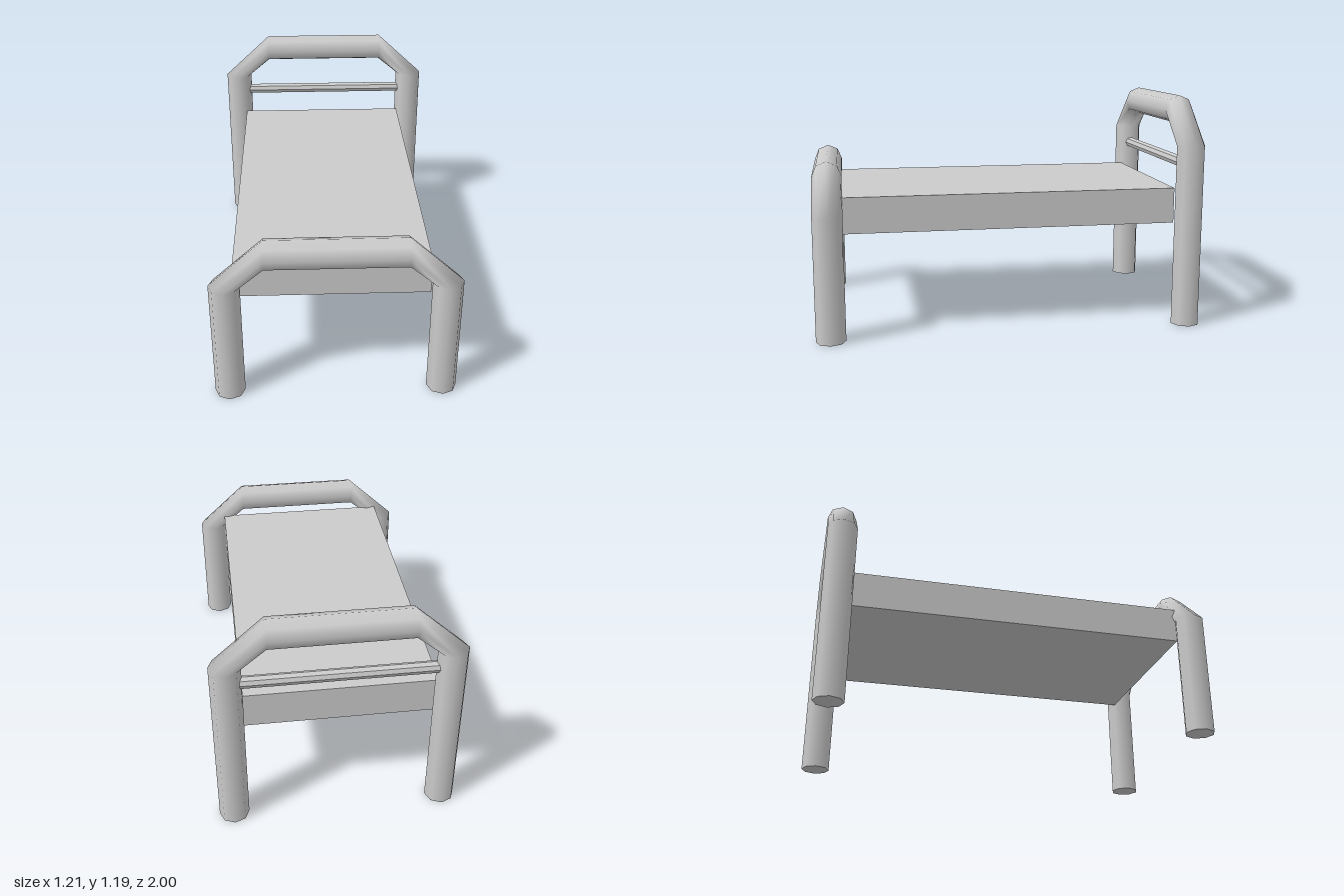
import * as THREE from 'three';

const SIDES = 8, RADIUS = 0.075, POST_X = 0.53, BEND_X = 0.34, END_Z = 0.925;

const material = new THREE.MeshStandardMaterial({ color: 0xcccccc });

function addMesh(parent, name, geometry, x, y, z, mat = material) {
  const mesh = new THREE.Mesh(geometry, mat);
  mesh.name = name;
  mesh.position.set(x, y, z);
  parent.add(mesh);
  return mesh;
}

// Bent pipe: level rings on the posts, upright rings on the top rail
function archGeometry(shoulderY, railY) {
  // each ring: centre x, centre y, outward direction x, y
  const rings = [
    [-POST_X, 0, -1, 0],
    [-POST_X, shoulderY, -1, 0],
    [-BEND_X, railY, 0, 1],
    [BEND_X, railY, 0, 1],
    [POST_X, shoulderY, 1, 0],
    [POST_X, 0, 1, 0],
  ];
  const positions = [], normals = [], index = [];
  rings.forEach(([cx, cy, dx, dy], i) => {
    for (let j = 0; j < SIDES; j++) {
      const a = (j / SIDES) * Math.PI * 2;
      const c = Math.cos(a), s = Math.sin(a);
      positions.push(cx + dx * c * RADIUS, cy + dy * c * RADIUS, s * RADIUS);
      normals.push(dx * c, dy * c, s);
      if (i < rings.length - 1) {
        const k = (j + 1) % SIDES, p = i * SIDES, q = p + SIDES;
        index.push(p + j, p + k, q + k, p + j, q + k, q + j);
      }
    }
  });
  const geometry = new THREE.BufferGeometry();
  geometry.setAttribute('position', new THREE.Float32BufferAttribute(positions, 3));
  geometry.setAttribute('normal', new THREE.Float32BufferAttribute(normals, 3));
  geometry.setIndex(index);
  return geometry;
}

// One bed end: arch plus the flat undersides of its two feet
function createBedEnd(name, shoulderY, z) {
  const end = new THREE.Group();
  end.name = name;
  end.position.z = z;
  addMesh(end, name + 'Arch', archGeometry(shoulderY, shoulderY + 0.17), 0, 0, 0);
  for (const side of [-1, 1]) {
    const cap = new THREE.CircleGeometry(RADIUS, SIDES).rotateX(Math.PI / 2);
    addMesh(end, name + (side > 0 ? 'LeftFoot' : 'RightFoot'), cap, side * POST_X, 0, 0);
  }
  return end;
}

export function createModel() {
  const bed = new THREE.Group();
  bed.name = 'bed';

  // Tall headboard at the back, low footboard at the front
  const headboard = createBedEnd('headboard', 0.945, -END_Z);
  bed.add(headboard, createBedEnd('footboard', 0.635, END_Z));

  // Thin faceted crossbar between the headboard posts
  const flat = new THREE.MeshStandardMaterial({ color: 0xcccccc, flatShading: true });
  const bar = new THREE.CylinderGeometry(0.03, 0.03, 0.98, 8).rotateZ(Math.PI / 2);
  addMesh(headboard, 'crossbar', bar, 0, 0.845, 0, flat);

  // Mattress slab, slightly off centre
  addMesh(bed, 'mattress', new THREE.BoxGeometry(0.95, 0.185, 1.737), -0.015, 0.622, -0.002);

  return bed;
}
